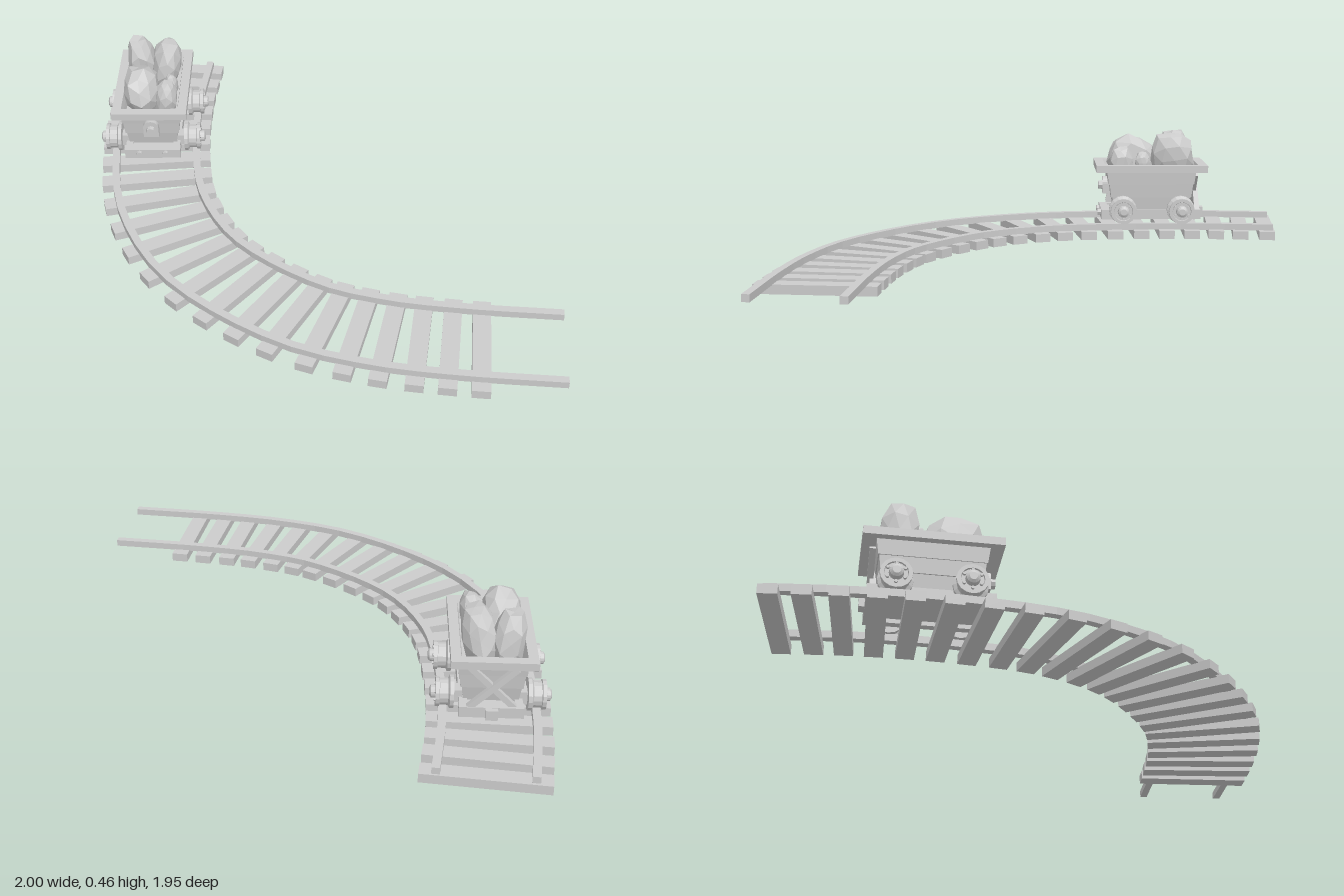
import * as THREE from 'three';

const flat = new THREE.MeshStandardMaterial({ color: 0xcccccc, flatShading: true });

function add(parent, name, geometry, x = 0, y = 0, z = 0) {
  const mesh = new THREE.Mesh(geometry, flat);
  mesh.name = name;
  mesh.position.set(x, y, z);
  parent.add(mesh);
  return mesh;
}
const box = (w, h, d) => new THREE.BoxGeometry(w, h, d);

// Rectangular rings [halfWidth, halfLength, y] joined one after another
function rectLoft(rings) {
  const corners = [[1, 1], [1, -1], [-1, -1], [-1, 1]];
  const pos = [];
  for (let i = 0; i < rings.length - 1; i++) {
    for (let k = 0; k < 4; k++) {
      const p = (r, c) => [r[0] * c[0], r[2], r[1] * c[1]];
      const c0 = corners[k], c1 = corners[(k + 1) % 4];
      const a = p(rings[i], c0), b = p(rings[i], c1);
      const c = p(rings[i + 1], c1), d = p(rings[i + 1], c0);
      pos.push(...a, ...b, ...c, ...a, ...c, ...d);
    }
  }
  const g = new THREE.BufferGeometry();
  g.setAttribute('position', new THREE.Float32BufferAttribute(pos, 3));
  g.computeVertexNormals();
  return g;
}

// Blocky boulder: a sphere squared off and roughened by a seeded rule
function rockGeometry(seed, rx, ry, rz) {
  const g = new THREE.IcosahedronGeometry(1, 1);
  const p = g.attributes.position;
  const v = new THREE.Vector3();
  for (let i = 0; i < p.count; i++) {
    v.fromBufferAttribute(p, i);
    const h = Math.sin(Math.round(v.x * 50) * 12.9 + Math.round(v.y * 50) * 78.2 + Math.round(v.z * 50) * 37.7 + seed * 5.3) * 43758.5;
    const n = Math.cbrt(Math.abs(v.x) ** 3 + Math.abs(v.y) ** 3 + Math.abs(v.z) ** 3);
    v.multiplyScalar((0.86 + 0.16 * (h - Math.floor(h))) / n);
    p.setXYZ(i, v.x * rx, v.y * ry, v.z * rz);
  }
  g.computeVertexNormals();
  return g;
}

function buildTrack() {
  const track = new THREE.Group();
  track.name = 'track';
  const path = new THREE.CatmullRomCurve3([
    [-0.77, -0.965], [-0.765, -0.65], [-0.72, -0.28], [-0.62, 0.08], [-0.4, 0.4],
    [0, 0.65], [0.3, 0.722], [0.6, 0.74], [0.995, 0.735],
  ].map(([x, z]) => new THREE.Vector3(x, 0, z)));
  const length = path.getLength();

  // Sleepers, a little closer together at both ends
  const count = 22;
  for (let i = 0; i < count; i++) {
    const t = i / (count - 1);
    const s = 0.025 + (length - 0.33) * (t - 0.014 * Math.sin(2 * Math.PI * t));
    const p = path.getPointAt(s / length), d = path.getTangentAt(s / length);
    const sleeper = add(track, 'sleeper', box(0.46, 0.036, 0.068), p.x, 0.018, p.z);
    sleeper.rotation.y = Math.atan2(d.x, d.z);
  }

  // Rails: flat ribbons offset from the centre line, extruded upward
  for (const side of [-1, 1]) {
    const edge = (offset) => Array.from({ length: 29 }, (_, i) => {
      const p = path.getPointAt(i / 28), d = path.getTangentAt(i / 28);
      return new THREE.Vector2(p.x + d.z * offset, -(p.z - d.x * offset));
    });
    const outline = [...edge(side * 0.171 - 0.015), ...edge(side * 0.171 + 0.015).reverse()];
    const g = new THREE.ExtrudeGeometry(new THREE.Shape(outline), { depth: 0.028, bevelEnabled: false });
    g.rotateX(-Math.PI / 2);
    add(track, 'rail', g, 0, 0.034, 0);
  }
  return track;
}

function buildWheel(side) {
  const wheel = new THREE.Group();
  wheel.name = 'wheel';
  // Flange, tread, outer rim, dished face and hub
  const profile = [[0, 0], [0.062, 0], [0.062, 0.014], [0.05, 0.02], [0.05, 0.05], [0.056, 0.052],
    [0.056, 0.066], [0.042, 0.066], [0.04, 0.06], [0.026, 0.06], [0.024, 0.082], [0.014, 0.088], [0, 0.088]]
    .map(([r, y]) => new THREE.Vector2(r, y));
  add(wheel, 'wheelDisc', new THREE.LatheGeometry(profile, 16));
  for (let i = 0; i < 6; i++) {
    const a = i * Math.PI / 3;
    add(wheel, 'wheelBolt', new THREE.CylinderGeometry(0.006, 0.006, 0.012, 6), Math.cos(a) * 0.034, 0.064, Math.sin(a) * 0.034);
  }
  wheel.rotation.z = -side * Math.PI / 2;
  return wheel;
}

function buildCart() {
  const cart = new THREE.Group();
  cart.name = 'mineCart';

  // Open hopper with stepped plank bands
  add(cart, 'hopper', rectLoft([
    [0, 0, 0.1], [0.1, 0.16, 0.1], [0.108, 0.174, 0.168], [0.113, 0.179, 0.168], [0.118, 0.186, 0.226],
    [0.122, 0.19, 0.226], [0.127, 0.199, 0.29], [0.114, 0.184, 0.29], [0.108, 0.176, 0.25], [0, 0, 0.25],
  ]));
  // Rim
  add(cart, 'rim', rectLoft([
    [0.118, 0.2, 0.284], [0.155, 0.247, 0.284], [0.155, 0.247, 0.314],
    [0.118, 0.207, 0.314], [0.112, 0.196, 0.284], [0.118, 0.2, 0.284],
  ]));

  // Chassis
  for (const side of [-1, 1]) {
    add(cart, 'sideBeam', box(0.03, 0.042, 0.4), side * 0.1, 0.09, 0);
    add(cart, 'endBeam', box(0.235, 0.042, 0.035), 0, 0.09, side * 0.205);
  }
  add(cart, 'floorPlate', box(0.2, 0.02, 0.39), 0, 0.095, 0);

  // Axles, bearings and wheels
  for (const z of [-0.129, 0.129]) {
    const axle = add(cart, 'axle', new THREE.CylinderGeometry(0.015, 0.015, 0.3, 8), 0, 0.117, z);
    axle.rotation.z = Math.PI / 2;
    for (const side of [-1, 1]) {
      add(cart, 'bearing', box(0.03, 0.05, 0.05), side * 0.118, 0.112, z);
      const wheel = buildWheel(side);
      wheel.position.set(side * 0.134, 0.117, z);
      cart.add(wheel);
    }
  }

  // Arched front plate with a knob, and bolts on the beam
  const arch = new THREE.Shape();
  arch.moveTo(-0.032, 0);
  arch.lineTo(0.032, 0);
  arch.lineTo(0.032, 0.045);
  arch.absarc(0, 0.045, 0.032, 0, Math.PI, false);
  const plate = new THREE.ExtrudeGeometry(arch, { depth: 0.035, bevelEnabled: false, curveSegments: 6 });
  add(cart, 'frontPlate', plate, 0, 0.173, 0.178);
  const knob = add(cart, 'frontKnob', new THREE.CylinderGeometry(0.018, 0.02, 0.02, 8), 0, 0.21, 0.222);
  knob.rotation.x = Math.PI / 2;
  for (const x of [-0.055, 0.055]) {
    const bolt = add(cart, 'beamBolt', new THREE.CylinderGeometry(0.013, 0.013, 0.02, 8), x, 0.095, 0.227);
    bolt.rotation.x = Math.PI / 2;
  }

  // Crossed braces and coupling at the back
  for (const side of [-1, 1]) {
    const brace = add(cart, 'backBrace', box(0.022, 0.24, 0.022), 0, 0.185, -0.204 - side * 0.004);
    brace.rotation.z = side * 0.79;
  }
  add(cart, 'coupling', box(0.045, 0.04, 0.03), 0, 0.09, -0.228);

  // Load of rocks: position, radii, tilt about x and z
  const rocks = [
    [-0.055, 0.345, -0.12, 0.06, 0.115, 0.075, 0.1, 0.12],
    [0.052, 0.345, -0.1, 0.064, 0.115, 0.1, 0.15, -0.2],
    [-0.04, 0.325, 0.076, 0.078, 0.11, 0.115, -0.4, 0.1],
    [0.065, 0.31, 0.13, 0.048, 0.085, 0.055, 0.1, -0.15],
    [0.08, 0.32, 0.04, 0.03, 0.05, 0.032, 0, 0],
  ];
  rocks.forEach(([x, y, z, rx, ry, rz, tiltX, tiltZ], i) => {
    const rock = add(cart, 'rock', rockGeometry(i + 1, rx, ry, rz), x, y, z);
    rock.rotation.set(tiltX, 0, tiltZ);
  });

  cart.position.set(-0.7425, 0, -0.4175);
  cart.rotation.y = 0.115;
  return cart;
}

export function createModel() {
  const model = new THREE.Group();
  model.name = 'mineCartOnTrack';
  model.add(buildTrack(), buildCart());
  return model;
}
